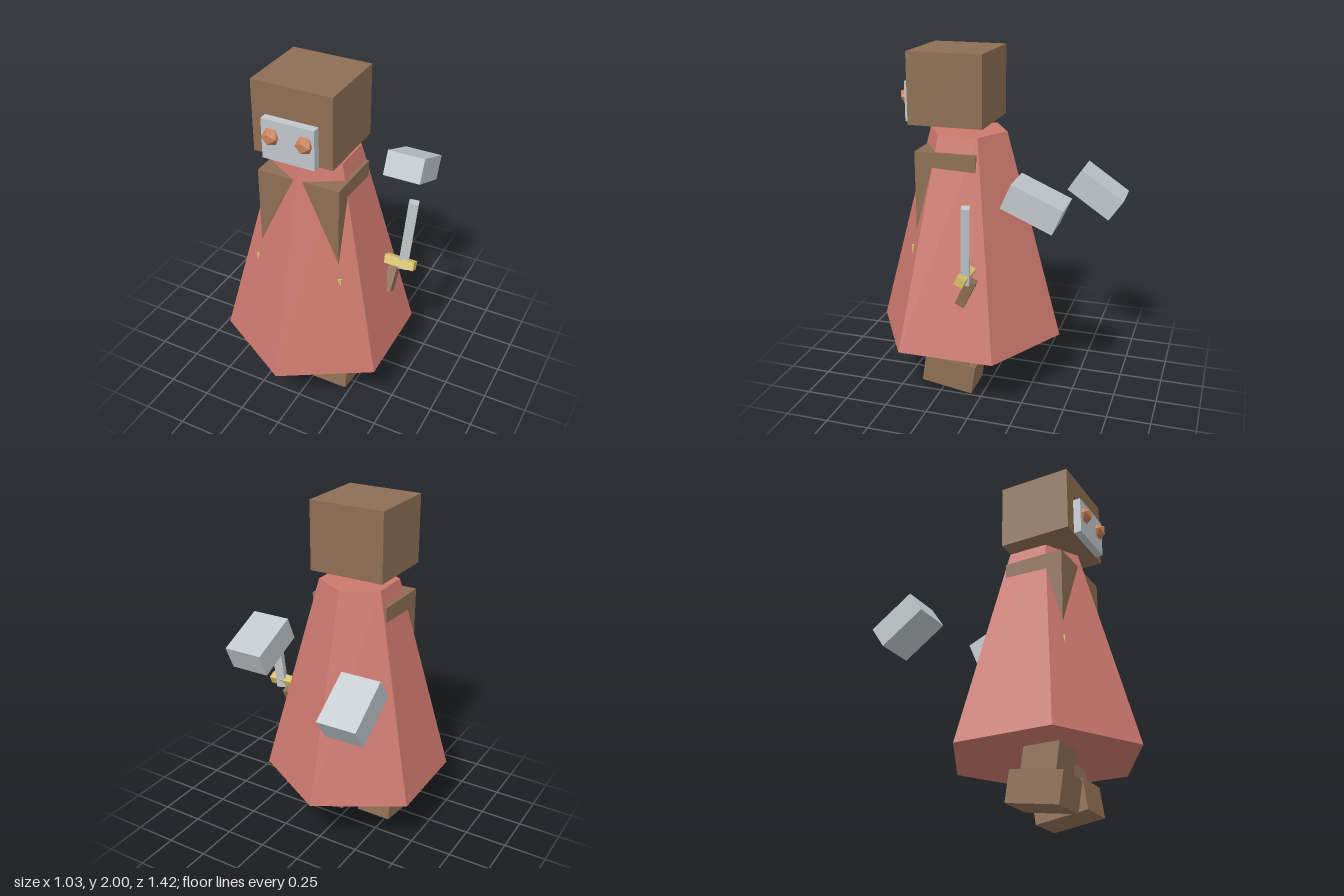
import * as THREE from 'three';

const material = (name, color) => {
  const m = new THREE.MeshStandardMaterial({ color, flatShading: true });
  m.name = name;
  return m;
};

export function createModel() {
  const model = new THREE.Group();
  const brown = material('brown', 0x8e6e54);
  const red = material('cloak red', 0xcc786d);
  const silver = material('silver', 0xc0c6ca);
  const gold = material('gold', 0xd6c068);
  const copper = material('copper', 0xc98259);

  const add = (name, geometry, mat, pos, rot = [0, 0, 0]) => {
    const mesh = new THREE.Mesh(geometry, mat);
    mesh.name = name;
    mesh.position.set(...pos);
    mesh.rotation.set(...rot);
    model.add(mesh);
    return mesh;
  };
  const box = (name, size, mat, pos, rot) => add(name, new THREE.BoxGeometry(...size), mat, pos, rot);

  // Head with face plate and faceted eyes
  box('head', [0.456, 0.4, 0.43], brown, [-0.03, 1.8, 0.215]);
  box('facePlate', [0.3, 0.225, 0.045], silver, [-0.03, 1.713, 0.453]);
  for (const x of [-0.124, 0.066]) {
    add('eye', new THREE.IcosahedronGeometry(0.05, 0), copper, [x, 1.735, 0.475]);
  }

  // Six-sided cloak over the torso; shoulders and belt corners poke through
  add('cloak', new THREE.CylinderGeometry(0.228, 0.557, 1.215, 6), red, [-0.03, 0.938, 0.153], [0, 0.01, 0]);
  box('torso', [0.48, 0.7, 0.355], brown, [-0.03, 1.105, 0.213]);
  box('belt', [0.532, 0.15, 0.395], gold, [-0.03, 0.835, 0.215]);

  // Striding legs and boots
  const legs = [
    { side: 'left', x: 0.135, tilt: -0.15, leg: [0.158, 0.37], boot: [0.202, 0.115] },
    { side: 'right', x: -0.196, tilt: 0.15, leg: [0.272, 0.37], boot: [0.226, 0.11] },
  ];
  for (const { side, x, tilt, leg, boot } of legs) {
    box(side + 'Leg', [0.195, 0.44, 0.205], brown, [x, leg[1], leg[0]], [tilt, 0, 0]);
    box(side + 'Boot', [0.217, 0.175, 0.31], brown, [x, boot[1], boot[0]], [tilt, 0, 0]);
  }

  // Floating armour blocks behind the shoulders
  box('leftArmourBlock', [0.226, 0.147, 0.303], silver, [0.317, 1.256, -0.335], [-0.41, 0.01, 0]);
  box('rightArmourBlock', [0.226, 0.15, 0.303], silver, [-0.395, 1.137, -0.541], [-0.6, 0.01, 0]);

  // Short sword at the left side
  box('swordBlade', [0.054, 0.45, 0.046], silver, [0.453, 1.025, 0.015], [-0.02, 0.25, -0.085]);
  box('swordGuard', [0.18, 0.052, 0.052], gold, [0.42, 0.838, 0.031], [-0.43, 0, 0]);
  box('swordHilt', [0.052, 0.172, 0.056], brown, [0.374, 0.724, 0.04], [-0.43, 0, -0.06]);

  return model;
}
